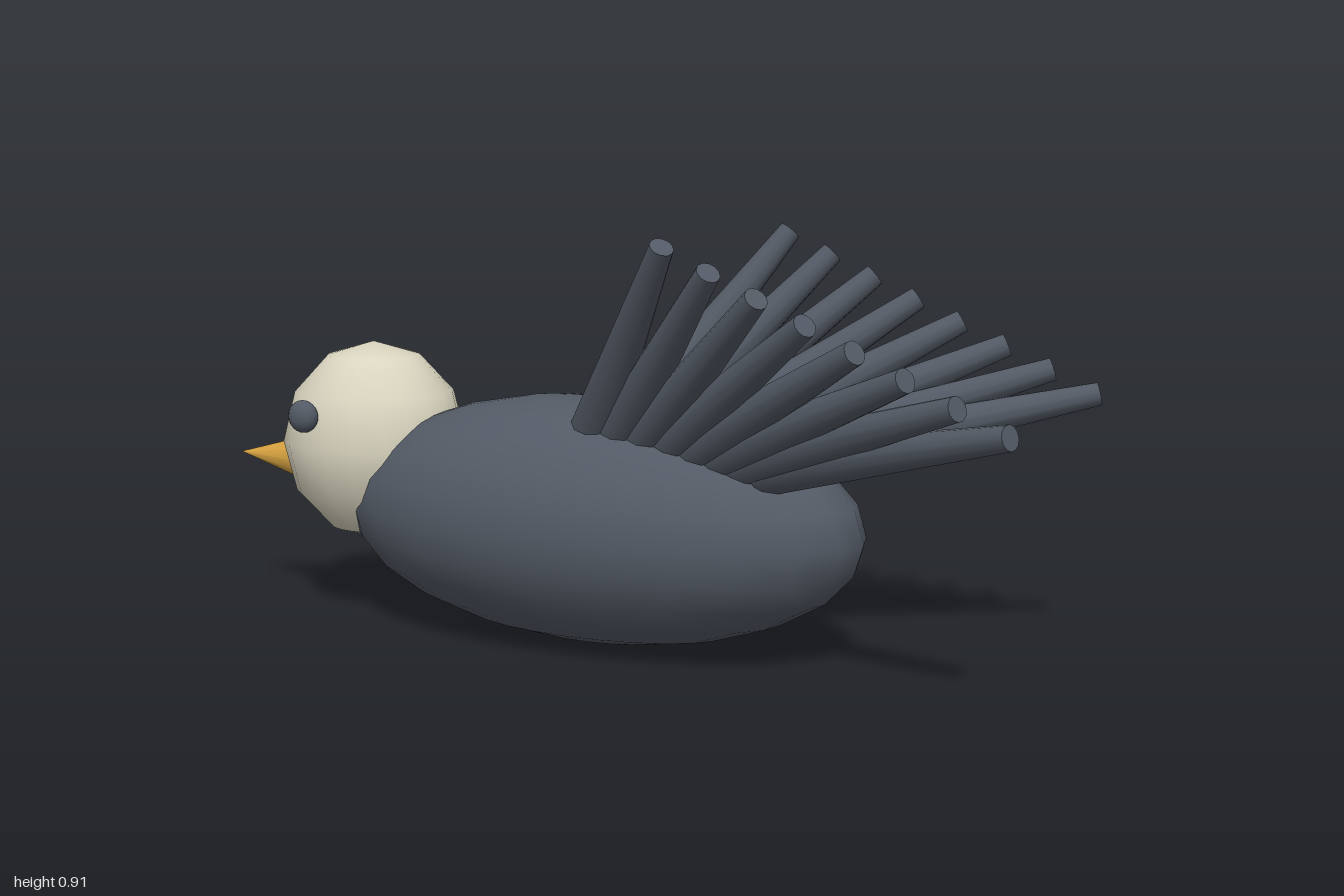
import * as THREE from 'three';

const slate = new THREE.MeshStandardMaterial({ color: 0x535a65 });
slate.name = 'slate plumage';
const cream = new THREE.MeshStandardMaterial({ color: 0xd9d4bf });
cream.name = 'cream head';
const amber = new THREE.MeshStandardMaterial({ color: 0xd9a441 });
amber.name = 'amber beak';

const UP = new THREE.Vector3(0, 1, 0);

// Sphere stretched into an ellipsoid
function ellipsoid(name, material, position, radii, widthSegs, heightSegs) {
  const mesh = new THREE.Mesh(new THREE.SphereGeometry(1, widthSegs, heightSegs), material);
  mesh.name = name;
  mesh.position.set(...position);
  mesh.scale.set(...radii);
  return mesh;
}

// Tapered rod or cone running between two points
function taper(name, material, from, to, baseRadius, tipRadius, segs) {
  const axis = to.clone().sub(from);
  const geometry = new THREE.CylinderGeometry(tipRadius, baseRadius, axis.length(), segs);
  const mesh = new THREE.Mesh(geometry, material);
  mesh.name = name;
  mesh.position.copy(from).add(to).multiplyScalar(0.5);
  mesh.quaternion.setFromUnitVectors(UP, axis.normalize());
  return mesh;
}

// Fan of feathers on one side (side = +1 or -1 along z)
function wing(name, side) {
  const group = new THREE.Group();
  group.name = name;
  const count = 8;
  const firstBase = new THREE.Vector3(0.02, 0.48, 0.108 * side);
  const lastBase = new THREE.Vector3(0.42, 0.435, 0.105 * side);
  const firstTip = new THREE.Vector3(0.288, 0.897, 0.327 * side);
  const lastTip = new THREE.Vector3(0.988, 0.575, 0.327 * side);
  for (let i = 0; i < count; i++) {
    const t = i / (count - 1);
    const base = firstBase.clone().lerp(lastBase, t);
    const tip = firstTip.clone().lerp(lastTip, t);
    group.add(taper('feather', slate, base, tip, 0.054, 0.025, 12));
  }
  return group;
}

export function createModel() {
  const bird = new THREE.Group();
  bird.name = 'bird';

  // Body and head
  bird.add(ellipsoid('body', slate, [-0.03, 0.275, 0], [0.625, 0.272, 0.29], 24, 12));
  bird.add(ellipsoid('head', cream, [-0.61, 0.405, 0], [0.217, 0.231, 0.2], 20, 6));

  // Single eye on the front side
  bird.add(ellipsoid('eye', slate, [-0.675, 0.48, 0.19], [0.037, 0.037, 0.026], 16, 12));

  // Beak
  const beakBase = new THREE.Vector3(-0.78, 0.347, 0);
  const beakTip = new THREE.Vector3(-1, 0.347, 0);
  bird.add(taper('beak', amber, beakBase, beakTip, 0.06, 0, 12));

  // Wings
  bird.add(wing('frontWing', 1), wing('backWing', -1));
  return bird;
}
